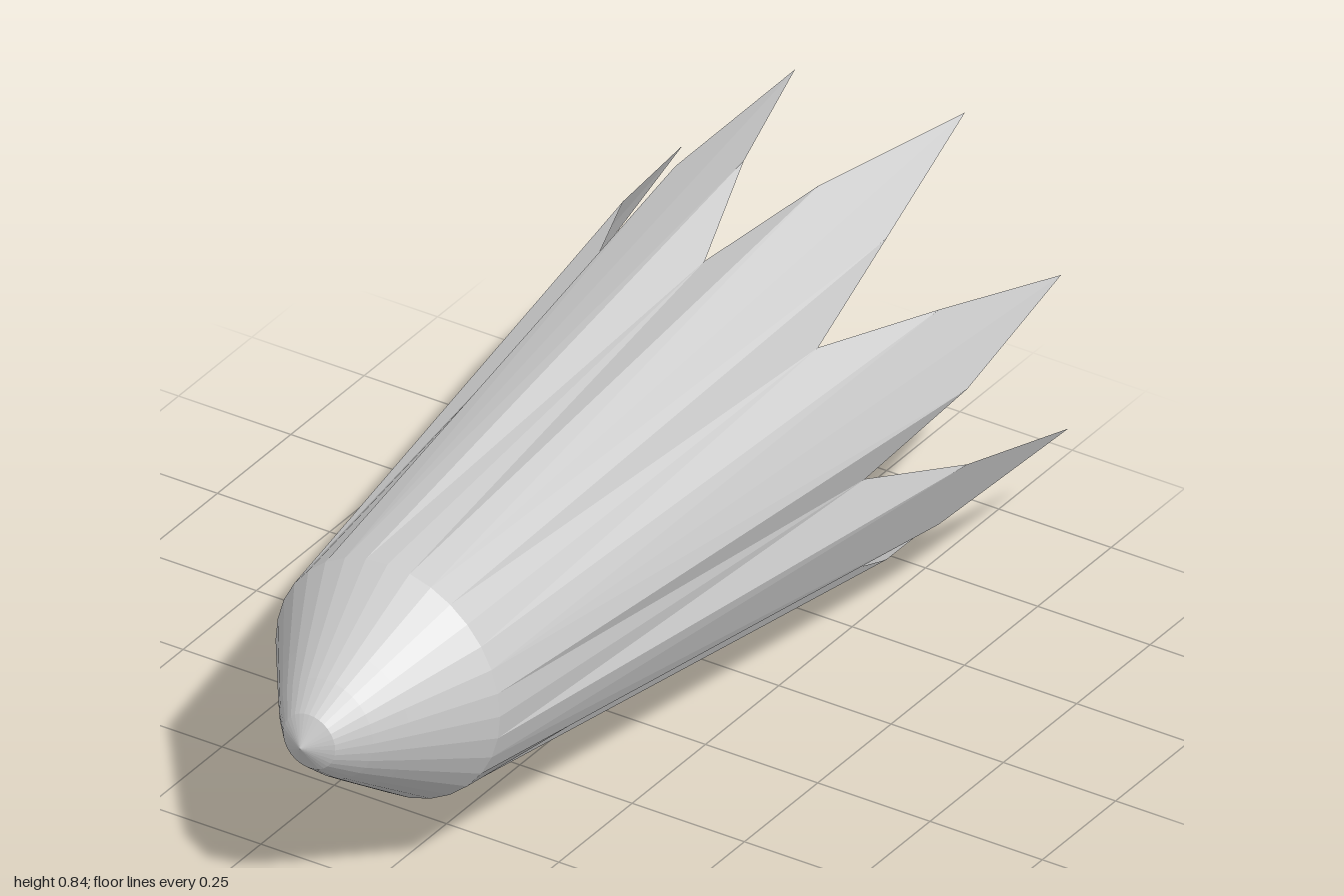
import * as THREE from 'three';

const SEGMENTS = 32;          // four columns for each of the eight petals
const AXIS_Y = 0.4225;
const COLLAR = { r: 0.25, z: 0.7 };

const material = new THREE.MeshStandardMaterial({
  color: 0xcccccc, flatShading: true, side: THREE.DoubleSide,
});

// Rear rim: each petal runs valley, shoulder, tip, shoulder
function rimPoint(i) {
  const k = i % 4;
  if (k === 0) return { r: 0.357, z: -0.38 };
  if (k !== 2) return { r: 0.423, z: -0.64 };
  // Tip lengths vary a little, counted counter-clockwise from +x
  const tips = [-0.95, -1, -0.955, -0.95, -0.95, -0.95, -0.95, -0.975];
  return { r: 0.456, z: tips[Math.floor(i / 4) % 8] };
}

// Fluted, flaring skirt, open at the back
function skirtGeometry() {
  const positions = [], index = [];
  for (let i = 0; i < SEGMENTS; i++) {
    const a = (i / SEGMENTS) * Math.PI * 2;
    for (const p of [COLLAR, rimPoint(i)]) {
      positions.push(p.r * Math.cos(a), p.r * Math.sin(a), p.z);
    }
    const f = i * 2, n = ((i + 1) % SEGMENTS) * 2;
    // Mirror the diagonal so both halves of a petal match
    if (i % 4 < 2) index.push(f, f + 1, n, n, f + 1, n + 1);
    else index.push(f, f + 1, n + 1, f, n + 1, n);
  }
  const g = new THREE.BufferGeometry();
  g.setAttribute('position', new THREE.Float32BufferAttribute(positions, 3));
  g.setIndex(index);
  g.computeVertexNormals();
  return g;
}

// Rounded nose, turned around the long axis
function noseGeometry() {
  const profile = [
    [COLLAR.r, COLLAR.z], [0.147, 0.85], [0.105, 0.91], [0.058, 0.968], [0, 1],
  ].map(([r, z]) => new THREE.Vector2(r, z));
  return new THREE.LatheGeometry(profile, SEGMENTS).rotateX(Math.PI / 2);
}

export function createModel() {
  const group = new THREE.Group();
  const add = (name, geometry) => {
    const mesh = new THREE.Mesh(geometry, material);
    mesh.name = name;
    mesh.position.y = AXIS_Y;
    group.add(mesh);
  };
  add('nose', noseGeometry());
  add('petalSkirt', skirtGeometry());
  return group;
}
